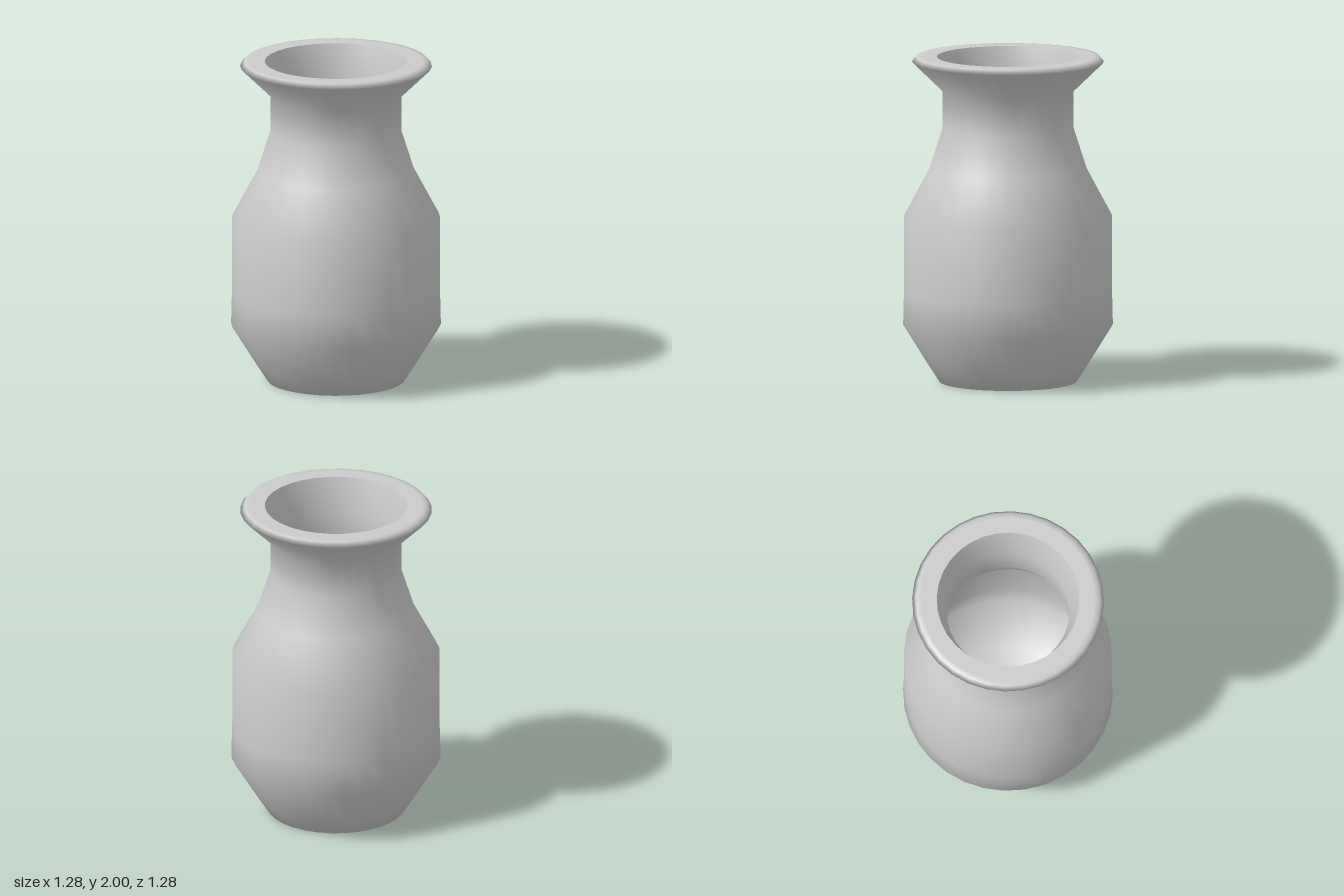
import * as THREE from 'three';

const SIDES = 32;

// Turns a list of [radius, height] pairs into a smooth surface of revolution
function turned(name, profile, material) {
  const points = profile.map(([r, y]) => new THREE.Vector2(r, y));
  const mesh = new THREE.Mesh(new THREE.LatheGeometry(points, SIDES), material);
  mesh.name = name;
  return mesh;
}

export function createModel() {
  const group = new THREE.Group();
  group.name = 'vase';
  const clay = new THREE.MeshStandardMaterial({ color: 0xcccccc });

  // Foot, body, shoulder, neck, flared lip and flat rim
  const outer = [
    [0, 0], [0.36, 0], [0.42, 0], [0.485, 0.1], [0.64, 0.35], [0.635, 0.55],
    [0.635, 1.02], [0.48, 1.31], [0.4, 1.56], [0.4, 1.79],
    [0.585, 1.97], [0.56, 2], [0.53, 2], [0.435, 2],
  ];
  group.add(turned('outerWall', outer, clay));

  // Hollow inside: funnel mouth, neck, belly and bowl-shaped floor
  const inner = [
    [0.435, 2], [0.375, 1.79], [0.375, 1.56], [0.45, 1.31], [0.6, 1.02],
    [0.6, 0.55], [0.6, 0.36], [0.4, 0.06], [0, 0.03],
  ];
  group.add(turned('innerWall', inner, clay));

  return group;
}
